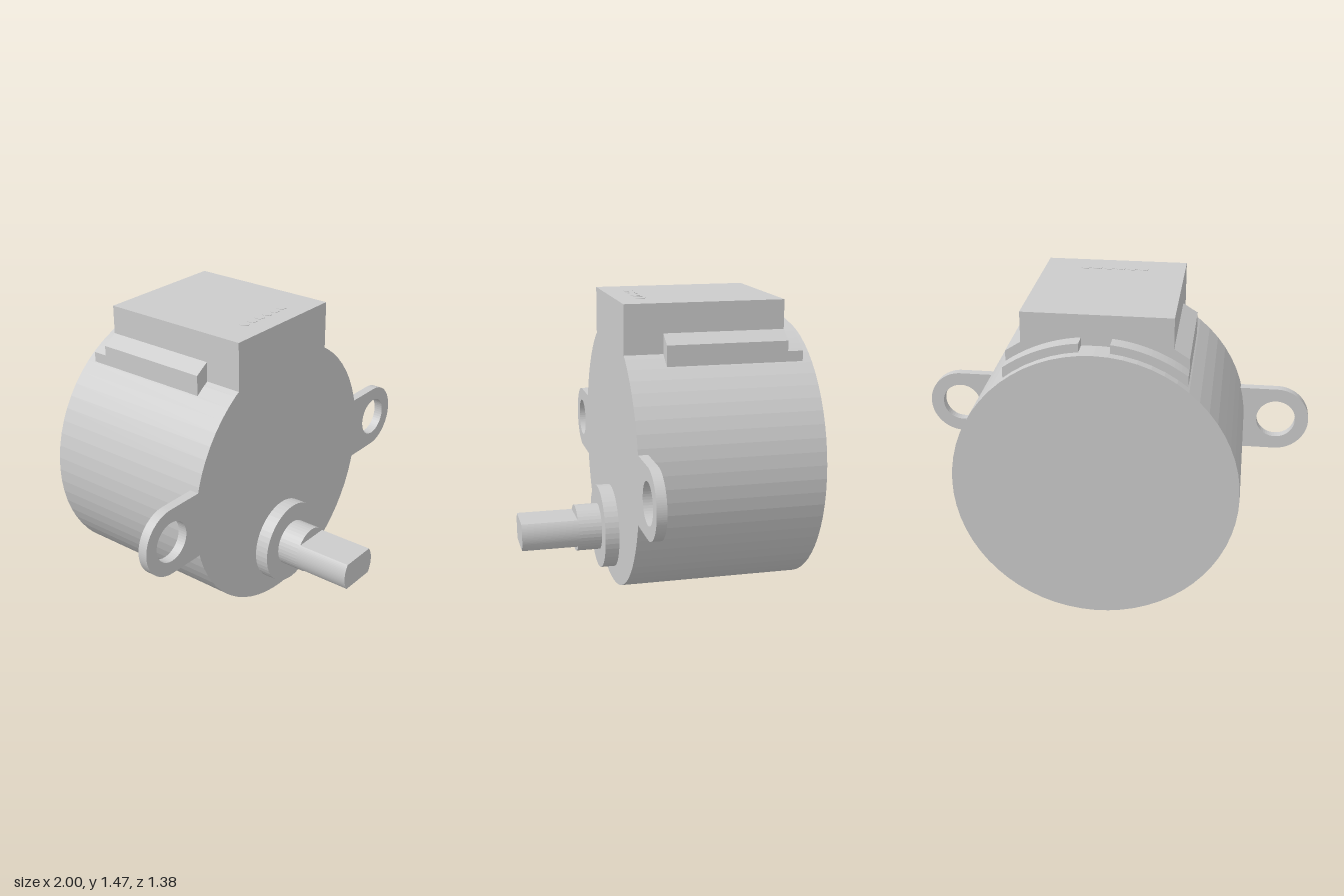
import * as THREE from 'three';

const material = new THREE.MeshStandardMaterial({ color: 0xcccccc, flatShading: true });
const R = 0.664, FRONT = 0.215, BACK = -0.69;
const AXIS_Y = 0.67, SHAFT_Y = 0.29, CX = -0.003;

// Extrude an XY shape between two z positions
function slab(name, shape, z0, z1, curveSegments = 24) {
  const geo = new THREE.ExtrudeGeometry(shape, { depth: z1 - z0, bevelEnabled: false, curveSegments });
  geo.translate(0, 0, z0);
  const mesh = new THREE.Mesh(geo, material);
  mesh.name = name;
  return mesh;
}

// Cylinder along z between two z positions
function rod(name, r, y, z0, z1, sides) {
  const geo = new THREE.CylinderGeometry(r, r, z1 - z0, sides);
  geo.rotateX(Math.PI / 2);
  geo.translate(0, y, (z0 + z1) / 2);
  const mesh = new THREE.Mesh(geo, material);
  mesh.name = name;
  return mesh;
}

// Height of a circle of radius r above the motor axis, as an angle for a given x
const angleAt = (x, r) => Math.acos(x / r);

function mirrored(name, build) {
  const group = new THREE.Group();
  group.name = name;
  for (const side of [1, -1]) group.add(build(side));
  return group;
}

// Mirror a shape's points and keep holes
function flip(shape, side, segments = 24) {
  const { shape: pts, holes } = shape.extractPoints(segments);
  const m = (p) => new THREE.Vector2(p.x * side, p.y);
  const out = new THREE.Shape(pts.map(m));
  out.holes = holes.map((h) => new THREE.Path(h.map(m)));
  return out;
}

export function createModel() {
  const model = new THREE.Group();
  model.name = 'gearedMotor';
  const core = new THREE.Group();
  core.name = 'motorCore';
  core.position.x = CX;
  model.add(core);

  // Round can
  core.add(rod('can', R, AXIS_Y, BACK, FRONT, 64));

  // Mounting ears with screw holes
  const ear = new THREE.Shape();
  const a = Math.asin(0.167 / R);
  ear.moveTo(R * Math.cos(a), AXIS_Y - 0.167);
  ear.lineTo(0.833, AXIS_Y - 0.167);
  ear.absarc(0.833, AXIS_Y, 0.167, -Math.PI / 2, Math.PI / 2, false);
  ear.lineTo(R * Math.cos(a), AXIS_Y + 0.167);
  ear.absarc(0, AXIS_Y, R - 0.004, a, -a, true);
  const screw = new THREE.Path();
  screw.absarc(0.833, AXIS_Y, 0.1, 0, Math.PI * 2, true);
  ear.holes.push(screw);
  model.add(mirrored('mountingEars', (s) => slab(s > 0 ? 'leftEar' : 'rightEar', flip(ear, s), 0.168, FRONT)));

  // Connector housing seated on the can
  const W = 0.343, seat = R - 0.006;
  const housing = new THREE.Shape();
  housing.moveTo(W, 1.478);
  housing.lineTo(-W, 1.478);
  housing.absarc(0, AXIS_Y, seat, angleAt(-W, seat), angleAt(W, seat), true);
  core.add(slab('connectorHousing', housing, -0.57, FRONT));

  // Chamfered side rails
  const rail = new THREE.Shape();
  rail.moveTo(W - 0.01, 1.342);
  rail.lineTo(W - 0.01, 1.235);
  rail.lineTo(0.414, 1.185);
  rail.lineTo(0.414, 1.29);
  core.add(mirrored('sideRails', (s) => slab(s > 0 ? 'leftRail' : 'rightRail', flip(rail, s), -0.57, 0.025)));

  // Curved tongues behind the housing
  const tongue = new THREE.Shape(), T = 0.704;
  tongue.absarc(0, AXIS_Y, T, angleAt(0.414, T), angleAt(0.07, T), false);
  tongue.absarc(0, AXIS_Y, seat, angleAt(0.07, seat), angleAt(0.414, seat), true);
  core.add(mirrored('rearTongues', (s) => slab(s > 0 ? 'leftTongue' : 'rightTongue', flip(tongue, s, 10), -0.645, -0.568)));

  // Row of wire ends on the housing top
  const wires = new THREE.Group();
  wires.name = 'wireEnds';
  for (let i = 0; i < 6; i++) {
    const wire = new THREE.Mesh(new THREE.CylinderGeometry(0.025, 0.025, 0.02, 16), material);
    wire.name = 'wireEnd';
    wire.position.set((i - 2.5) * 0.057, 1.47, 0.09);
    wires.add(wire);
  }
  core.add(wires);

  // Output boss and shaft
  core.add(rod('shaftBoss', 0.212, SHAFT_Y, FRONT - 0.01, 0.285, 48));
  core.add(rod('shaft', 0.118, SHAFT_Y, 0.275, 0.405, 40));

  // Shaft end with two flats
  const flat = new THREE.Shape(), b = Math.asin(0.07 / 0.118);
  flat.absarc(0, SHAFT_Y, 0.118, -b, b, false);
  flat.absarc(0, SHAFT_Y, 0.118, Math.PI - b, Math.PI + b, false);
  core.add(slab('shaftFlats', flat, 0.4, 0.69, 10));

  return model;
}
